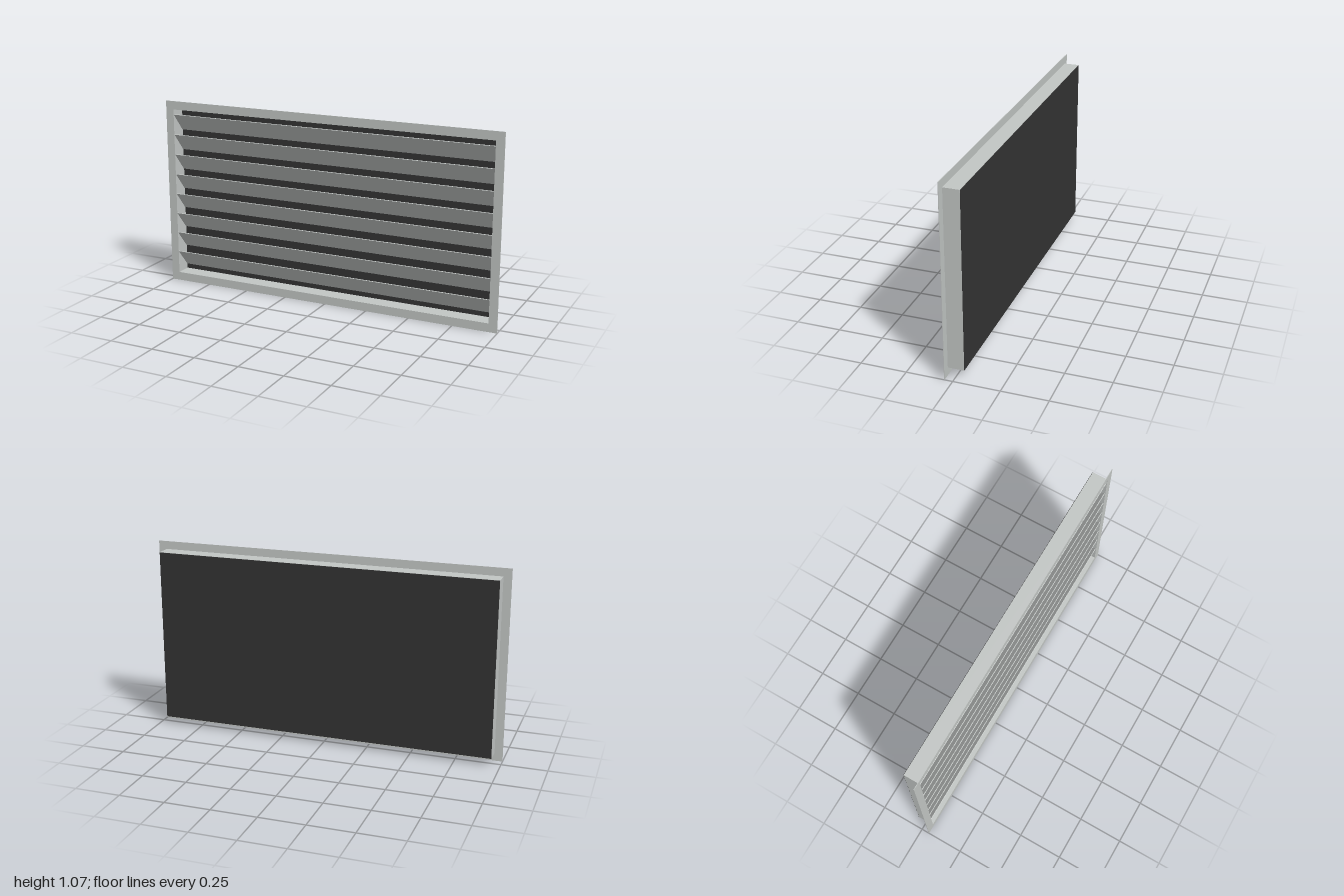
import * as THREE from 'three';

export function createModel() {
  const group = new THREE.Group();
  const metal = new THREE.MeshStandardMaterial({ color: 0xc2c6c4 });
  metal.name = 'pale grey metal';
  const dark = new THREE.MeshStandardMaterial({ color: 0x333333 });
  dark.name = 'dark backing';

  const W = 2, H = 1.07, D = 0.092;      // overall size
  const border = 0.045, wall = 0.003;    // flange width, sheet thickness
  const midY = H / 2, front = D / 2, back = -D / 2;

  // Rectangular ring extruded along z, centred on the opening
  const ring = (name, w, h, t, z0, depth) => {
    const rect = (P, a, b) => new P([
      new THREE.Vector2(-a, -b), new THREE.Vector2(a, -b),
      new THREE.Vector2(a, b), new THREE.Vector2(-a, b),
    ]);
    const shape = rect(THREE.Shape, w / 2, h / 2);
    shape.holes.push(rect(THREE.Path, w / 2 - t, h / 2 - t));
    const mesh = new THREE.Mesh(
      new THREE.ExtrudeGeometry(shape, { depth, bevelEnabled: false }), metal);
    mesh.name = name;
    mesh.position.set(0, midY, z0);
    group.add(mesh);
  };

  // Flat front flange and the sleeve behind it
  const sleeveW = W - 2 * border, sleeveH = H - 2 * border;
  ring('flange', W, H, border + wall, front - 0.003, 0.003);
  ring('sleeve', sleeveW, sleeveH, wall, back + 0.002, D - 0.005);

  // Closed back
  const panel = new THREE.Mesh(
    new THREE.BoxGeometry(sleeveW - 0.002, sleeveH - 0.002, 0.003), dark);
  panel.name = 'backPanel';
  panel.position.set(0, midY, back + 0.0015);
  group.add(panel);

  // Slanted slats, front edge high and back edge low
  const slats = new THREE.Group();
  slats.name = 'slats';
  const count = 8, pitch = 0.1165, rise = 0.1, run = 0.083;
  const slatGeo = new THREE.BoxGeometry(sleeveW - 2 * wall, 0.004, Math.hypot(rise, run));
  for (let i = 0; i < count; i++) {
    const slat = new THREE.Mesh(slatGeo, metal);
    slat.name = 'slat' + (i + 1);
    slat.position.set(0, midY + (i - (count - 1) / 2) * pitch, 0.001);
    slat.rotation.x = -Math.atan2(rise, run);
    slats.add(slat);
  }
  group.add(slats);
  return group;
}
